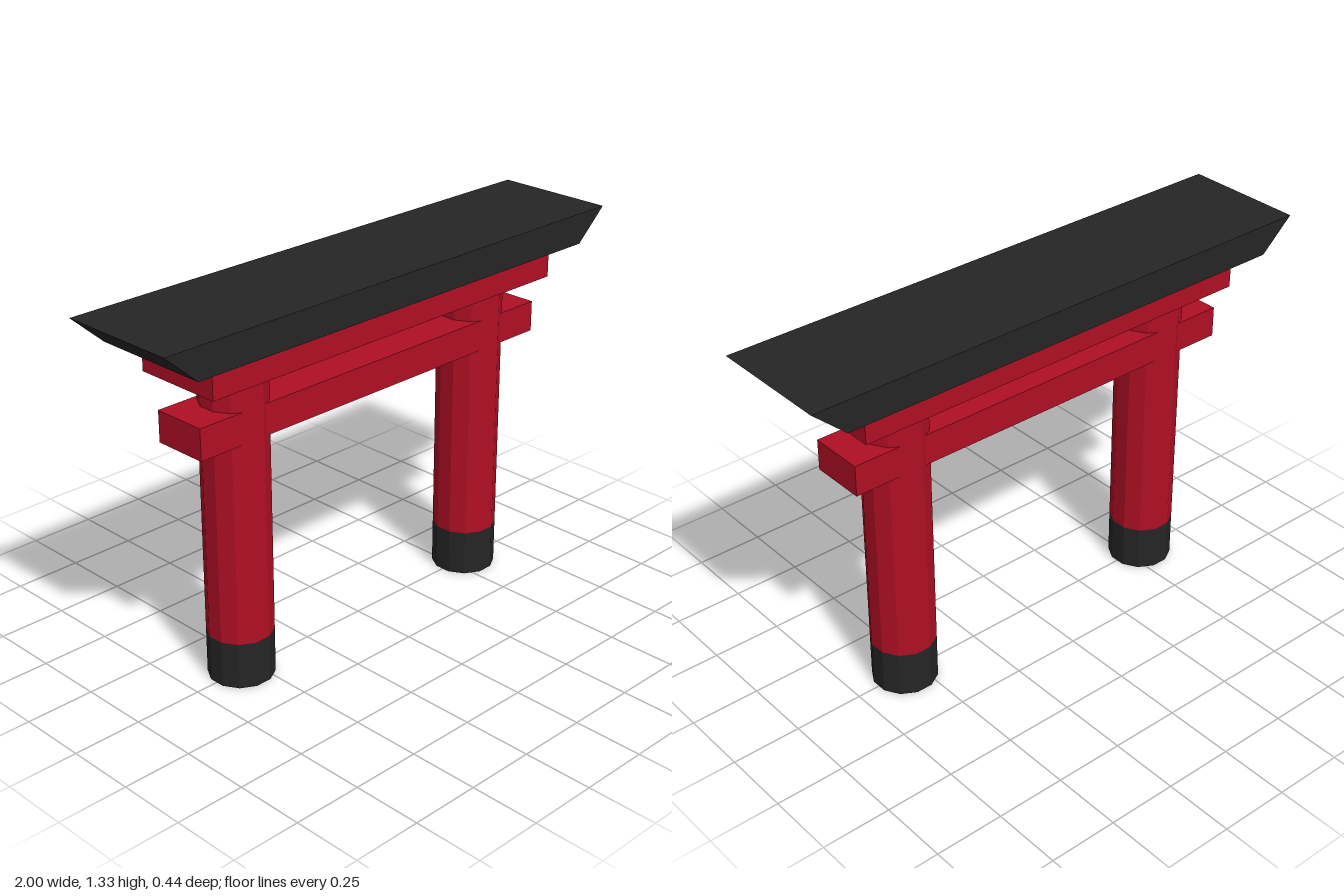
import * as THREE from 'three';

export function createModel() {
  const model = new THREE.Group();
  model.name = 'gate';
  const red = new THREE.MeshStandardMaterial({ color: 0xb00f24, flatShading: true });
  red.name = 'red paint';
  const black = new THREE.MeshStandardMaterial({ color: 0x252525, flatShading: true });
  black.name = 'black paint';

  const add = (name, geometry, material, x, y, z = 0) => {
    const mesh = new THREE.Mesh(geometry, material);
    mesh.name = name;
    mesh.position.set(x, y, z);
    model.add(mesh);
  };

  // Twelve-sided posts with a flat facing each axis, on black feet
  const bar = (bottom, top) =>
    new THREE.CylinderGeometry(0.115, 0.115, top - bottom, 12, 1, false, Math.PI / 12);
  for (const [side, x] of [['left', 0.555], ['right', -0.555]]) {
    add(side + 'Foot', bar(0, 0.167), black, x, 0.0835);
    add(side + 'Post', bar(0.167, 1.111), red, x, 0.639);
  }

  // Crossbeams
  add('lowerBeam', new THREE.BoxGeometry(1.555, 0.111, 0.2), red, 0, 0.9445);
  add('upperBeam', new THREE.BoxGeometry(1.555, 0.111, 0.333), red, 0, 1.1667);

  // Roof beam, its ends flaring outward to the top
  const profile = new THREE.Shape([
    new THREE.Vector2(-0.877, 0),
    new THREE.Vector2(0.877, 0),
    new THREE.Vector2(1, 0.111),
    new THREE.Vector2(-1, 0.111),
  ]);
  const roof = new THREE.ExtrudeGeometry(profile, { depth: 0.444, bevelEnabled: false });
  add('roof', roof, black, 0, 1.222, -0.222);

  return model;
}
